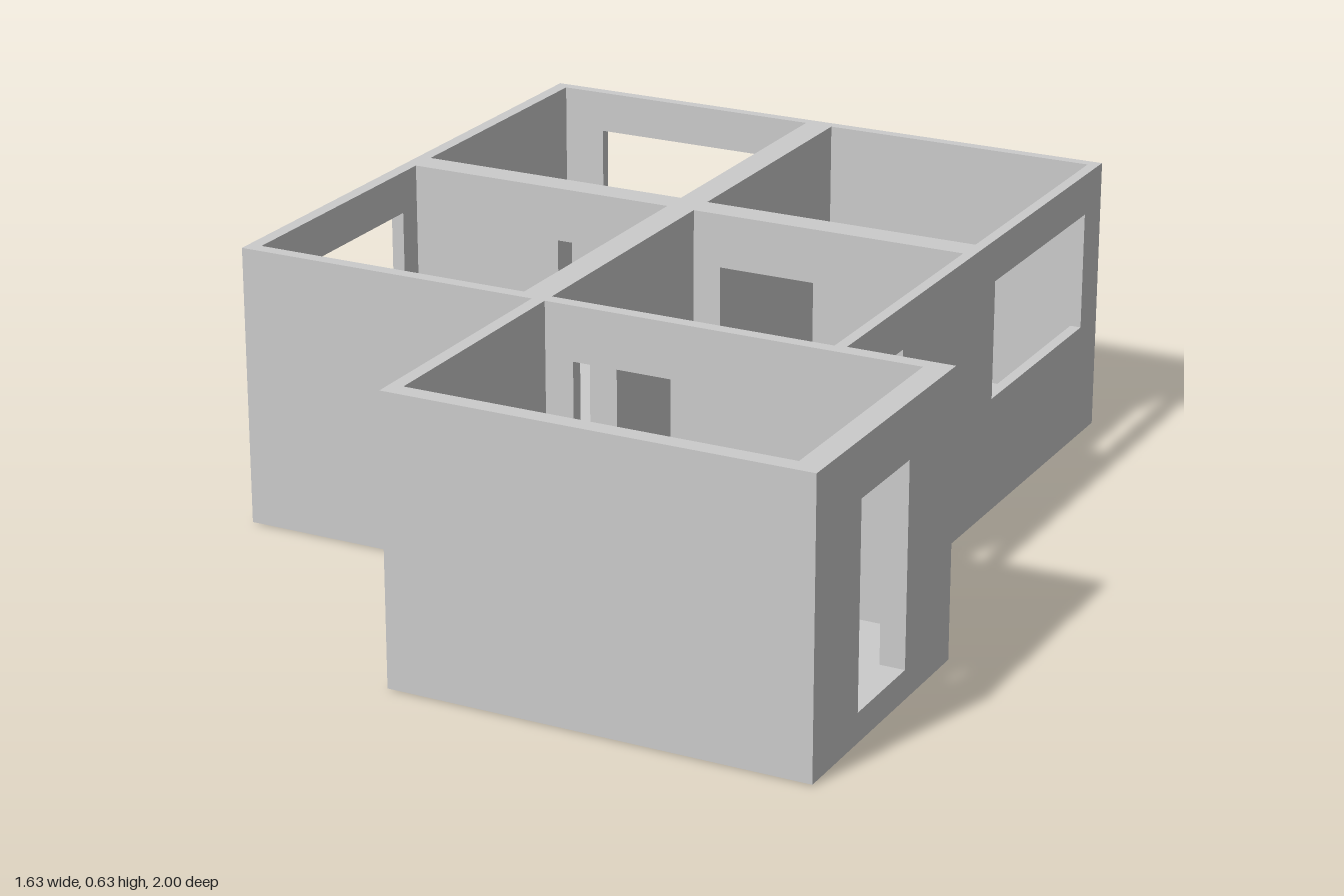
import * as THREE from 'three';

const BASE = 0.055, FLOOR = 0.12, TOP = 0.685;
const DOOR_TOP = 0.563, SILL = 0.32, HEAD = 0.59;

// Wall elevation: doors are notches in the foot, windows are holes.
function elevation(from, to, doors, windows) {
  const s = new THREE.Shape();
  s.moveTo(from, FLOOR);
  for (const [a, b] of doors) {
    s.lineTo(a, FLOOR);
    s.lineTo(a, DOOR_TOP);
    s.lineTo(b, DOOR_TOP);
    s.lineTo(b, FLOOR);
  }
  s.lineTo(to, FLOOR);
  s.lineTo(to, TOP);
  s.lineTo(from, TOP);
  s.closePath();
  for (const [a, b] of windows) {
    const h = new THREE.Path();
    h.moveTo(a, SILL);
    h.lineTo(a, HEAD);
    h.lineTo(b, HEAD);
    h.lineTo(b, SILL);
    h.closePath();
    s.holes.push(h);
  }
  return s;
}

export function createModel() {
  const house = new THREE.Group();
  house.name = 'floorPlanHouse';
  const material = new THREE.MeshStandardMaterial({ color: 0xcccccc });

  const add = (name, geometry) => {
    const mesh = new THREE.Mesh(geometry, material);
    mesh.name = name;
    house.add(mesh);
  };
  const extrude = (shape, depth) => new THREE.ExtrudeGeometry(shape, { depth, bevelEnabled: false });

  // Wall running along x, filling z0..z1
  const wallX = (name, x0, x1, z0, z1, { doors = [], windows = [] } = {}) =>
    add(name, extrude(elevation(x0, x1, doors, windows), z1 - z0).translate(0, 0, z0));

  // Wall running along z, filling x0..x1
  const wallZ = (name, z0, z1, x0, x1, { doors = [], windows = [] } = {}) =>
    add(name, extrude(elevation(z0, z1, doors, windows), x1 - x0).rotateY(-Math.PI / 2).translate(x1, 0, 0));

  // Floor slab over the whole footprint
  const footprint = new THREE.Shape([
    [-0.82, -1], [0.58, -1], [0.58, 0.365], [0.815, 0.365],
    [0.815, 1], [-0.115, 1], [-0.115, 0.4], [-0.82, 0.4],
  ].map(([x, z]) => new THREE.Vector2(x, -z)));
  add('floorSlab', extrude(footprint, FLOOR - BASE).rotateX(-Math.PI / 2).translate(0, BASE, 0));

  // Small plate on the underside
  add('undersidePlate', new THREE.BoxGeometry(0.145, 0.004, 0.13).translate(0.043, BASE, 0.487));

  // Main block: outer walls
  wallZ('outerWallWest', -1, 0.4, -0.82, -0.79, { windows: [[-0.21, 0.2]] });
  wallZ('outerWallEast', -1, 0.4, 0.555, 0.58, { windows: [[-0.905, -0.39], [0.09, 0.315]] });
  wallX('backWall', -0.79, 0.555, -1, -0.975, { windows: [[-0.69, -0.205]] });
  wallX('frontWall', -0.79, 0.555, 0.37, 0.4, { doors: [[-0.02, 0.205]] });

  // Main block: partitions
  wallX('crossPartition', -0.79, 0.555, -0.335, -0.27, { doors: [[-0.425, -0.2], [-0.02, 0.205]] });
  wallZ('backPartition', -0.975, -0.335, -0.15, -0.085);
  wallZ('frontPartition', -0.27, 0.37, -0.15, -0.085, { doors: [[0.09, 0.315]] });

  // Entrance room
  wallZ('entranceWallWest', 0.4, 1, -0.115, -0.085);
  wallZ('entranceWallEast', 0.365, 1, 0.76, 0.815, { doors: [[0.58, 0.8]] });
  wallX('entranceWallFront', -0.085, 0.76, 0.96, 1);
  wallX('entranceWallBack', 0.58, 0.76, 0.365, 0.4);

  return house;
}
